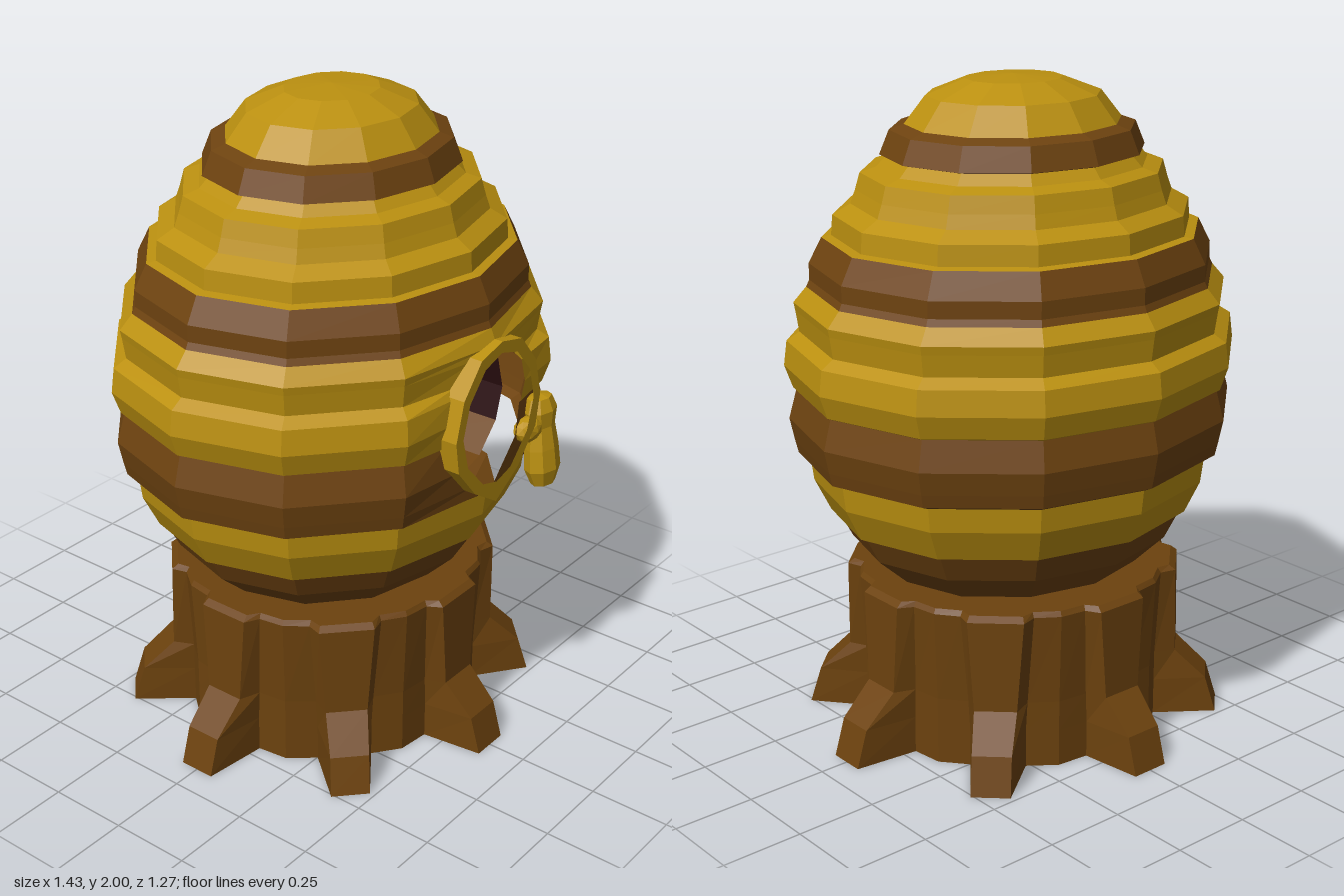
import * as THREE from 'three';

const mat = (name, color, side = THREE.FrontSide) => {
  const m = new THREE.MeshStandardMaterial({ color, side });
  m.name = name;
  return m;
};

// Faceted normals for a low-poly look
function facet(geo) {
  const g = geo.index ? geo.toNonIndexed() : geo;
  g.computeVertexNormals();
  return g;
}

// Skin between successive cross-sections (bottom to top, counterclockwise from above)
function skin(rings, closed, flip = false) {
  const n = rings[0].length, pos = [], idx = [];
  rings.forEach(r => r.forEach(p => pos.push(...p)));
  for (let i = 0; i < rings.length - 1; i++) {
    for (let j = 0; j < (closed ? n : n - 1); j++) {
      const k = (j + 1) % n;
      const a = i * n + j, b = i * n + k, c = a + n, d = b + n;
      if (flip) idx.push(a, d, b, a, c, d);
      else idx.push(a, b, d, a, d, c);
    }
  }
  const g = new THREE.BufferGeometry();
  g.setAttribute('position', new THREE.Float32BufferAttribute(pos, 3));
  g.setIndex(idx);
  return facet(g);
}

// Hive ring with 12 sides; the front seam opens by "gap" to form the doorway
function hiveRing([r, y, gap = 0]) {
  const ring = [];
  for (let j = 0; j <= 12; j++) {
    const a = j * Math.PI / 6;
    ring.push([r * Math.sin(a), y, Math.min(0.59, 0.89 * r * Math.cos(a))]);
  }
  if (gap > 0) {
    const z = THREE.MathUtils.lerp(ring[0][2], ring[1][2], gap / ring[1][0]);
    ring[0] = [gap, y, z];
    ring[12] = [-gap, y, z];
  }
  return ring;
}

// Mirror a right-hand outline, listed top to bottom, into a closed loop
const mirrorLoop = half => [...half, ...half.slice(1, -1).reverse().map(([x, y]) => [-x, y])];

export function createModel() {
  const honey = mat('honeyYellow', 0xbb9010);
  const brown = mat('stripeBrown', 0x6e4310, THREE.DoubleSide);
  const wood = mat('stumpWood', 0x6c420e);
  const dark = mat('darkHollow', 0x2a0e10, THREE.DoubleSide);
  const model = new THREE.Group();
  const add = (name, geo, m, parent = model) => {
    const mesh = new THREE.Mesh(geo, m);
    mesh.name = name;
    parent.add(mesh);
    return mesh;
  };

  // Hive bands, bottom to top: [radius, height, doorway half-width]
  const bands = [
    [brown, [[0.35, 0.5], [0.42, 0.52], [0.52, 0.61], [0.565, 0.695]]],
    [honey, [[0.565, 0.695], [0.585, 0.7], [0.635, 0.8], [0.645, 0.875]]],
    [brown, [[0.645, 0.875], [0.68, 0.89], [0.69, 0.93, 0.06], [0.705, 1.0, 0.15], [0.68, 1.09, 0.19]]],
    [honey, [[0.68, 1.09, 0.19], [0.69, 1.095, 0.19], [0.715, 1.165, 0.19], [0.705, 1.24, 0.17],
      [0.665, 1.265, 0.15], [0.675, 1.33, 0.07], [0.68, 1.355], [0.64, 1.4]]],
    [brown, [[0.64, 1.4], [0.63, 1.42], [0.63, 1.47], [0.59, 1.545]]],
    [honey, [[0.59, 1.545], [0.56, 1.55], [0.555, 1.61], [0.5, 1.64], [0.485, 1.68], [0.47, 1.73],
      [0.42, 1.745], [0.39, 1.775]]],
    [brown, [[0.39, 1.775], [0.41, 1.78], [0.38, 1.85], [0.335, 1.865]]],
    [honey, [[0.335, 1.865], [0.27, 1.945], [0.15, 1.99], [0, 2.0]]],
  ];
  const hive = new THREE.Group();
  hive.name = 'hive';
  model.add(hive);
  bands.forEach(([m, rows], i) => add('hiveBand' + (i + 1), skin(rows.map(hiveRing), false), m, hive));

  // Doorway collar, pointed at its lower lip
  const inner = mirrorLoop([[0, 1.335], [0.08, 1.31], [0.15, 1.23], [0.178, 1.13], [0.15, 1.03], [0.07, 0.945], [0, 0.925]]);
  const outer = mirrorLoop([[0, 1.37], [0.1, 1.345], [0.18, 1.25], [0.212, 1.13], [0.195, 1.03], [0.11, 0.93], [0, 0.86]]);
  const toV2 = pts => pts.map(p => new THREE.Vector2(...p));
  const collarShape = new THREE.Shape(toV2(outer));
  collarShape.holes.push(new THREE.Path(toV2(inner)));
  const collar = facet(new THREE.ExtrudeGeometry(collarShape, { depth: 0.11, bevelEnabled: false }));
  collar.translate(0, 0, 0.5);
  add('doorwayCollar', collar, honey);

  // Doorway tunnel behind the collar: dark walls, brown floor, dark back
  const atDepth = (pts, z) => pts.map(([x, y]) => [x, y, z]);
  const tunnel = pts => skin([atDepth(pts, 0.5), atDepth(pts, 0.25)], false, true);
  add('doorwayWalls', tunnel([...inner.slice(8), ...inner.slice(0, 5)]), dark);
  add('doorwayFloor', tunnel(inner.slice(4, 9)), brown);
  const back = new THREE.ShapeGeometry(new THREE.Shape(toV2(inner)));
  back.translate(0, 0, 0.25);
  add('doorwayBack', back, dark);

  // Honey drip beside the doorway
  const dripProfile = [[0, -0.15], [0.045, -0.14], [0.066, -0.09], [0.062, -0.02], [0.052, 0.05],
    [0.062, 0.1], [0.045, 0.14], [0, 0.15]];
  const drip = add('honeyDrip', facet(new THREE.LatheGeometry(toV2(dripProfile), 8)), honey);
  drip.position.set(0.28, 0.94, 0.58);
  drip.rotation.x = -0.1;
  drip.scale.z = 0.75;
  const blob = add('honeyBlob', facet(new THREE.IcosahedronGeometry(0.05, 1)), honey);
  blob.position.set(0.21, 1.0, 0.575);
  blob.scale.set(1.1, 0.8, 0.75);

  // Stump with eight buttress roots: each row is [height, ridge radius, valley radius, ridge half-width]
  const stumpRing = ([y, ridge, valley, w]) => {
    const ring = [];
    for (let i = 0; i < 8; i++) {
      const a = i * Math.PI / 4, s = Math.sin(a), c = Math.cos(a);
      const put = (out, side) => ring.push([out * s + side * c, y, 0.95 * (out * c - side * s)]);
      put(valley, -w - 0.025);
      put(ridge, -w);
      put(ridge, w);
      put(valley, w + 0.025);
      const m = a + Math.PI / 8, r = valley + 0.025;
      ring.push([r * Math.sin(m), y, 0.95 * r * Math.cos(m)]);
    }
    return ring;
  };
  const stumpRows = [[0, 0.66, 0.46, 0.06], [0.115, 0.625, 0.46, 0.06], [0.21, 0.525, 0.46, 0.065],
    [0.49, 0.52, 0.475, 0.085], [0.505, 0.5, 0.465, 0.08]].map(stumpRing);
  stumpRows.push(stumpRows[4].map(() => [0, 0.505, 0]));
  add('stump', skin(stumpRows, true), wood);

  // Hollow underside of the stump
  const hollowRows = stumpRows.map(row => row.map(p => p.map(v => v * 0.985)));
  add('stumpHollow', skin(hollowRows, true, true), dark);

  return model;
}
